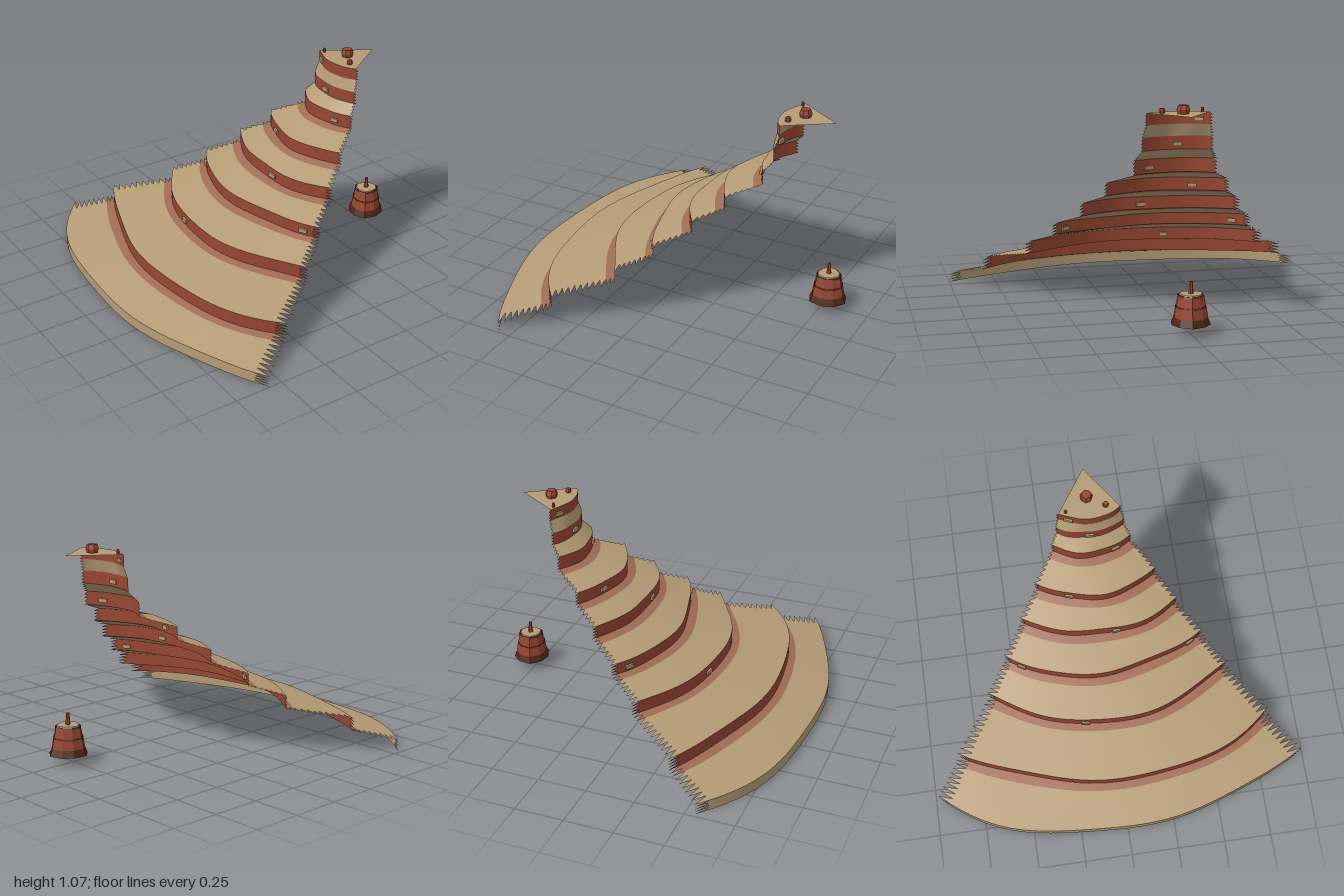
import * as THREE from 'three';

const mat = (name, color, side = THREE.FrontSide) => {
  const m = new THREE.MeshStandardMaterial({ color, side });
  m.name = name;
  return m;
};

const APEX = 0.78;   // x of the hill's axis
const HALF = 0.59;   // half angle of the wedge
const TOOTH = 0.05;  // angular length of the ragged side teeth

// Terrace risers from the ground up: radius, foot height, top height
const RISERS = [
  [1.65, 0, 0.055], [1.405, 0.11, 0.175], [1.1, 0.235, 0.3],
  [0.885, 0.36, 0.42], [0.7, 0.48, 0.545], [0.54, 0.6, 0.665],
  [0.355, 0.72, 0.79], [0.298, 0.84, 0.905], [0.28, 0.965, 1.025],
];

// Point on the wandering contour line of one level
function contour(e, a) {
  const wobble = 0.011 * Math.sin(5.5 * a + e.k * 1.9 + 4) + 0.006 * Math.sin(11 * a + e.k * 2.7);
  const r = e.r * (1 + wobble);
  return new THREE.Vector3(APEX - r * Math.cos(a), e.y, r * Math.sin(a));
}

// Sheet between two contours from t0 to t1, with sawtooth side edges
function sheet(A, B, t0, t1, rows, teeth = true) {
  const pos = [], idx = [], cols = 28;
  const add = (t, a) => {
    pos.push(...contour(A, a).lerp(contour(B, a), t).toArray());
    return pos.length / 3 - 1;
  };
  for (let i = 0; i <= rows; i++) {
    const t = t0 + (t1 - t0) * i / rows;
    for (let j = 0; j <= cols; j++) add(t, HALF * (2 * j / cols - 1));
  }
  const n = cols + 1;
  for (let i = 0; i < rows; i++) {
    for (let j = 0; j < cols; j++) {
      const a = i * n + j;
      idx.push(a, a + 1, a + n, a + 1, a + n + 1, a + n);
    }
    if (!teeth) continue;
    const t = t0 + (t1 - t0) * i / rows;
    const left = i * n, right = left + cols;
    idx.push(left, left + n, add(t, -HALF - TOOTH));
    idx.push(right, add(t, HALF + TOOTH), right + n);
  }
  const g = new THREE.BufferGeometry();
  g.setAttribute('position', new THREE.Float32BufferAttribute(pos, 3));
  g.setIndex(idx);
  g.computeVertexNormals();
  return g;
}

// Low-poly boulder with slightly uneven corners
function boulder(radius, height) {
  const g = new THREE.CylinderGeometry(radius * 0.8, radius * 0.85, height, 7, 2).toNonIndexed();
  const p = g.attributes.position;
  for (let i = 0; i < p.count; i++) {
    const s = Math.abs(p.getY(i)) < 0.001 ? 1.25 : 1;
    p.setXYZ(i, p.getX(i) * s, p.getY(i), p.getZ(i) * s);
  }
  g.computeVertexNormals();
  return g;
}

export function createModel() {
  const model = new THREE.Group();
  model.name = 'terracedMesa';
  const sand = mat('sand', 0xb59c76, THREE.DoubleSide);
  const redRock = mat('redRock', 0x974631, THREE.DoubleSide);
  const scree = mat('scree', 0xa06c54, THREE.DoubleSide);
  const darkRock = mat('darkRock', 0x4c2616);

  const put = (parent, name, geo, material, x = 0, y = 0, z = 0) => {
    const m = new THREE.Mesh(geo, material);
    m.name = name;
    m.position.set(x, y, z);
    parent.add(m);
    return m;
  };

  // Terraces: riser, sloping tread and a scree strip below the next riser
  const hill = new THREE.Group();
  hill.name = 'hillside';
  model.add(hill);
  RISERS.forEach(([r, y0, y1], k) => {
    const foot = { r, y: y0, k }, top = { r, y: y1, k };
    put(hill, 'riser', sheet(foot, top, 0, 1, 4), k ? redRock : sand);
    const next = RISERS[k + 1];
    if (!next) {
      put(hill, 'summit', sheet(top, { r: 0, y: y1, k }, 0, 1, 6, false), sand);
      return;
    }
    const end = { r: next[0], y: next[1], k: k + 1 };
    const width = r - next[0];
    const split = width < 0.1 ? 1 : 1 - 0.042 / width;
    put(hill, 'tread', sheet(top, end, 0, split, Math.max(4, Math.round(width * split / 0.03))), sand);
    if (split < 1) put(hill, 'screeStrip', sheet(top, end, split, 1, 2), scree);
  });

  // Small sandstone ledges set in the risers: riser index, z
  const ledges = [[2, -0.15], [3, -0.44], [3, 0.45], [4, 0.075], [5, -0.15], [6, 0.12], [7, -0.01], [8, -0.11]];
  for (const [k, z] of ledges) {
    const [r, y0, y1] = RISERS[k];
    const a = Math.asin(z / r);
    const p = contour({ r, y: (y0 + y1) / 2 - 0.006, k }, a);
    const ledge = put(hill, 'ledge', new THREE.BoxGeometry(0.02, 0.02, 0.045), sand, p.x, p.y, p.z);
    ledge.rotation.y = a;
  }

  // Boulders on the summit
  put(model, 'largeBoulder', boulder(0.032, 0.042), redRock, 0.615, 1.045, -0.005);
  put(model, 'smallBoulder', boulder(0.016, 0.022), redRock, 0.562, 1.036, 0.085);
  put(model, 'tinyBoulder', boulder(0.008, 0.022), redRock, 0.55, 1.036, -0.118);

  // Free-standing rock stack
  const stack = new THREE.Group();
  stack.name = 'rockStack';
  stack.position.set(APEX, 0, 0);
  model.add(stack);
  const tier = (name, rTop, rBottom, y0, y1, material, sides = 9) => {
    const g = new THREE.CylinderGeometry(rTop, rBottom, y1 - y0, sides).toNonIndexed();
    const p = g.attributes.position;
    for (let i = 0; i < p.count; i++) {
      const a = Math.atan2(p.getZ(i), p.getX(i));
      const s = 1 + 0.06 * Math.sin(3 * a + 1);
      p.setX(i, p.getX(i) * s);
      p.setZ(i, p.getZ(i) * s);
    }
    g.computeVertexNormals();
    return put(stack, name, g, material, 0, (y0 + y1) / 2, 0);
  };
  tier('skirt', 0.082, 0.097, 0.05, 0.085, darkRock);
  tier('lowerTier', 0.076, 0.084, 0.085, 0.132, redRock);
  tier('tierSeam', 0.075, 0.077, 0.132, 0.138, darkRock);
  tier('upperTier', 0.064, 0.073, 0.138, 0.185, redRock);
  tier('rim', 0.062, 0.067, 0.185, 0.192, darkRock);
  tier('stackTop', 0.055, 0.058, 0.192, 0.197, sand);
  tier('spire', 0.008, 0.012, 0.197, 0.255, redRock, 6);

  return model;
}
